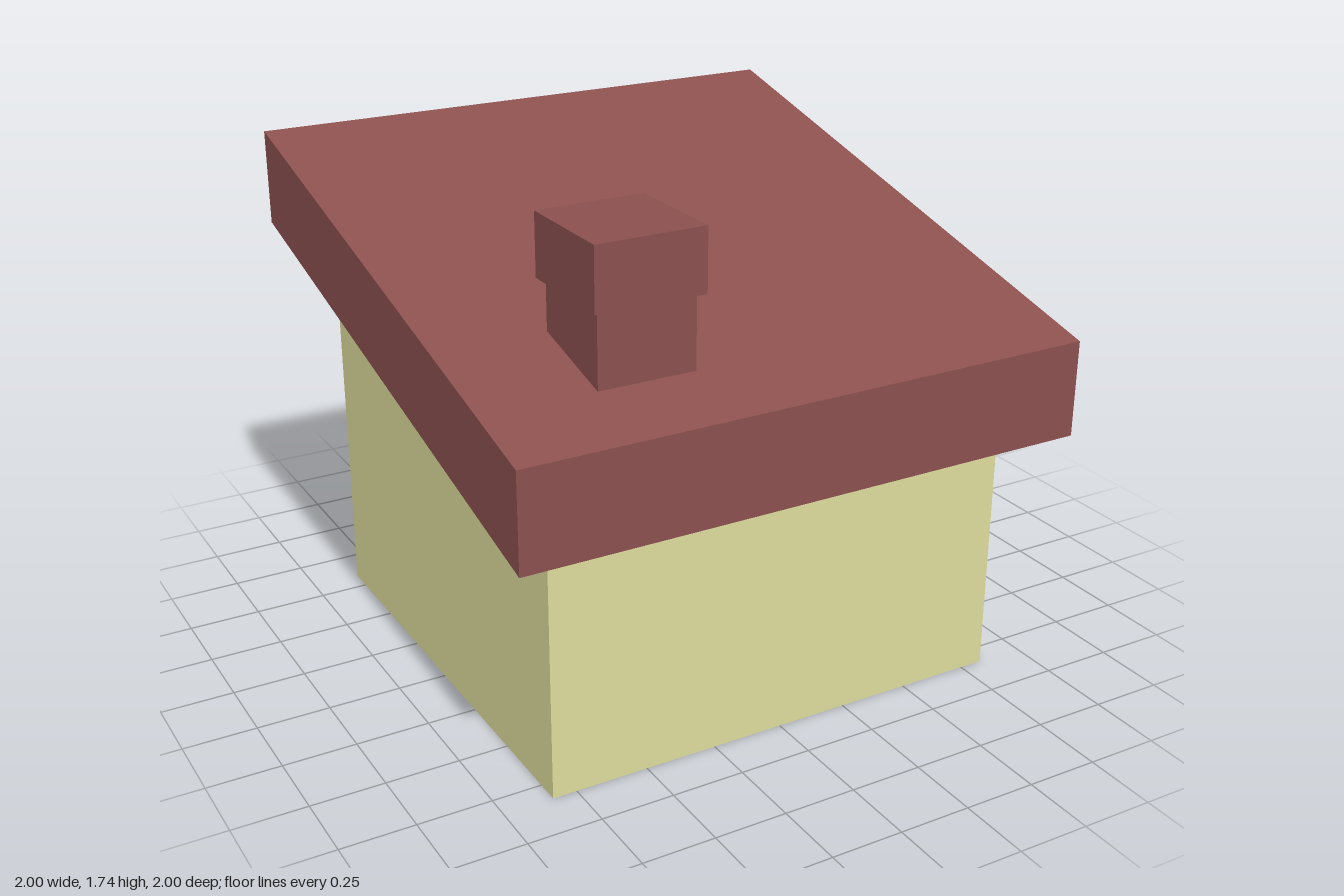
import * as THREE from 'three';

const wallMaterial = new THREE.MeshStandardMaterial({ color: 0xdedc9c });
const roofMaterial = new THREE.MeshStandardMaterial({ color: 0x8b514f });

// Height of the sloping roof underside at depth z
const eaves = (z) => 0.89 + (1 - z) * 0.2475;
const roofThickness = 0.33;

// Extrudes a side profile of [z, y] points across the width, centred on x = 0
function sideProfile(name, points, width, material) {
  const shape = new THREE.Shape(points.map(([z, y]) => new THREE.Vector2(z, y)));
  const geometry = new THREE.ExtrudeGeometry(shape, { depth: width, bevelEnabled: false });
  geometry.translate(0, 0, -width / 2).rotateY(-Math.PI / 2);
  const mesh = new THREE.Mesh(geometry, material);
  mesh.name = name;
  return mesh;
}

// Box standing on a given height
function block(name, size, x, bottom, z, material) {
  const mesh = new THREE.Mesh(new THREE.BoxGeometry(...size), material);
  mesh.position.set(x, bottom + size[1] / 2, z);
  mesh.name = name;
  return mesh;
}

export function createModel() {
  const house = new THREE.Group();
  house.name = 'house';

  // Walls, cut off along the slope and tucked slightly into the roof
  const w = 0.832;
  house.add(sideProfile('walls', [
    [-w, 0], [w, 0], [w, eaves(w) + 0.01], [-w, eaves(-w) + 0.01],
  ], 2 * w, wallMaterial));

  // Single-pitch roof slab with vertical edges, rising to the back
  house.add(sideProfile('roof', [
    [1, eaves(1)], [1, eaves(1) + roofThickness],
    [-1, eaves(-1) + roofThickness], [-1, eaves(-1)],
  ], 2, roofMaterial));

  // Chimney: stack sunk into the roof, with a wider cap
  const chimney = new THREE.Group();
  chimney.name = 'chimney';
  chimney.add(
    block('chimneyStack', [0.333, 0.29, 0.328], -0.448, 1.24, 0.584, roofMaterial),
    block('chimneyCap', [0.374, 0.21, 0.38], -0.448, 1.53, 0.584, roofMaterial),
  );
  house.add(chimney);

  return house;
}
